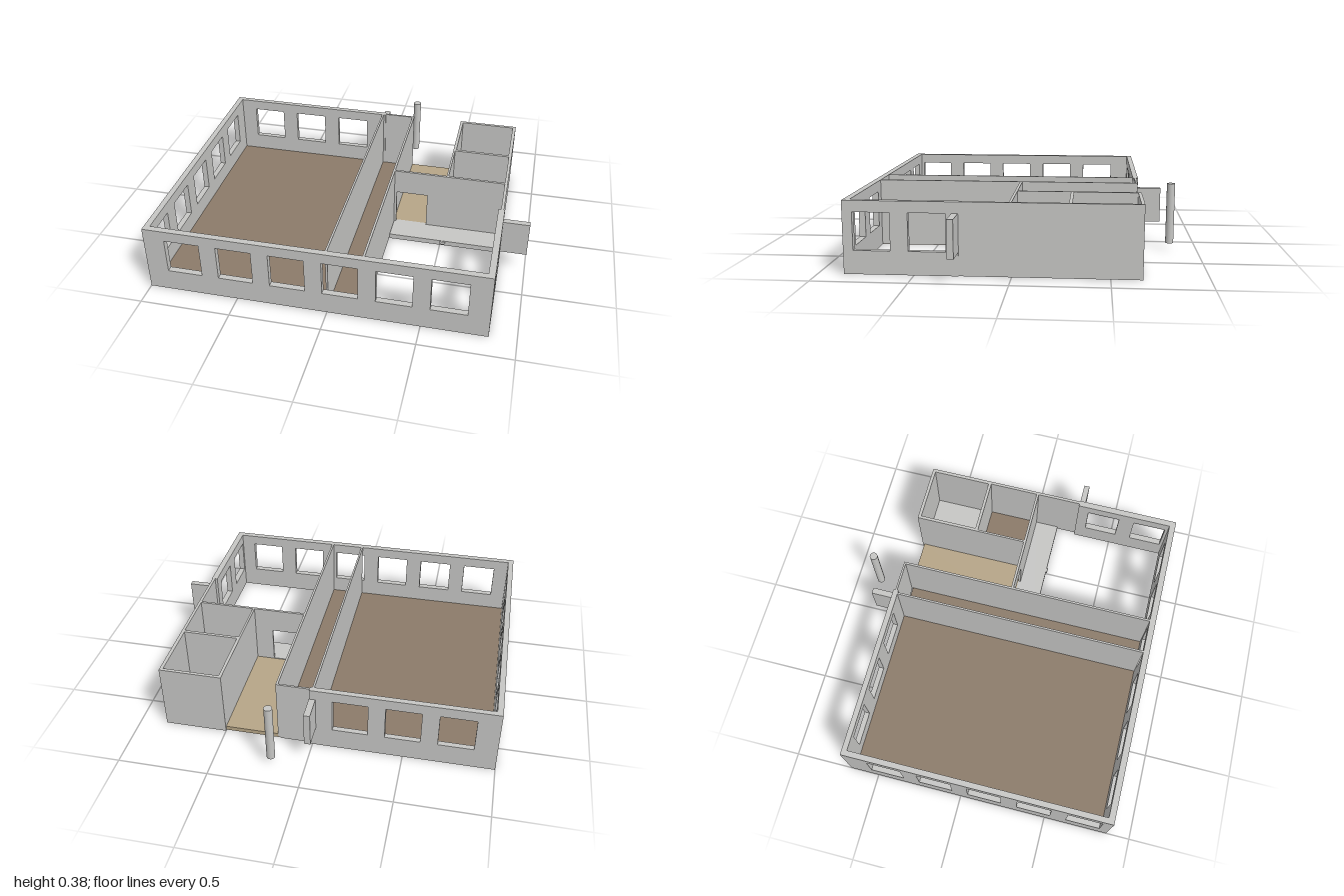
import * as THREE from 'three';

const H = 0.385;                      // wall height
const SILL = 0.125, HEAD = 0.325;     // window bottom and top
const SLAB = 0.025;                   // floor thickness

export function createModel() {
  const group = new THREE.Group();
  const mat = (name, color) => {
    const m = new THREE.MeshStandardMaterial({ color });
    m.name = name;
    return m;
  };
  const plaster = mat('grey plaster', 0xc6c6c4);
  const brown = mat('brown floor', 0x8b7a69);
  const tan = mat('tan floor', 0xb6a587);

  const add = (name, geometry, material) => {
    const mesh = new THREE.Mesh(geometry, material);
    mesh.name = name;
    group.add(mesh);
    return mesh;
  };

  // Box given by its limits on each axis
  const block = (name, x0, x1, y0, y1, z0, z1, material = plaster) =>
    add(name, new THREE.BoxGeometry(x1 - x0, y1 - y0, z1 - z0), material)
      .position.set((x0 + x1) / 2, (y0 + y1) / 2, (z0 + z1) / 2);

  // Upright panel from a to b with rectangular openings [a, b, bottom, top]
  const panel = (a, b, depth, openings, bottom = 0) => {
    const rect = (path, x0, x1, y0, y1) =>
      path.moveTo(x0, y0).lineTo(x1, y0).lineTo(x1, y1).lineTo(x0, y1).closePath();
    const shape = new THREE.Shape();
    rect(shape, a, b, bottom, H);
    for (const [x0, x1, y0 = SILL, y1 = HEAD] of openings) {
      const hole = new THREE.Path();
      rect(hole, x0, x1, y0, y1);
      shape.holes.push(hole);
    }
    return new THREE.ExtrudeGeometry(shape, { depth, bevelEnabled: false });
  };
  const wallAlongX = (name, x0, x1, z0, z1, openings, bottom) =>
    add(name, panel(x0, x1, z1 - z0, openings, bottom), plaster).position.z = z0;
  const wallAlongZ = (name, x0, x1, z0, z1, openings) => {
    const wall = add(name, panel(z0, z1, x1 - x0, openings), plaster);
    wall.rotation.y = -Math.PI / 2;
    wall.position.x = x1;
  };

  // Evenly spaced windows
  const windows = (start, count, pitch, width = 0.193) =>
    Array.from({ length: count }, (_, i) => [start + i * pitch, start + i * pitch + width]);

  // Outer walls with windows
  wallAlongX('frontWall', -1, 0.855, 0.83, 0.865, windows(-0.883, 6, 0.286));
  wallAlongX('backWall', -1, 0.012, -0.667, -0.637, windows(-0.877, 3, 0.286));
  wallAlongZ('rightWall', -1, -0.968, -0.637, 0.83, windows(-0.525, 5, 0.286));
  wallAlongZ('leftWall', 0.82, 0.855, 0.27, 0.83, windows(0.334, 2, 0.286));

  // Floors
  block('hallFloor', -0.968, 0.19, 0, SLAB, -0.637, 0.83, brown);
  block('passageFloor', 0.19, 0.5, 0, SLAB, -0.652, 0, tan);
  block('smallRoomFloor', 0.51, 0.838, 0, SLAB, -0.287, 0, brown);
  block('backRoomFloor', 0.515, 0.832, 0, SLAB, -0.645, -0.303);
  block('porchSlab', 0.2, 0.83, 0, 0.03, 0.014, 0.155);
  block('porchStep', 0.5, 0.53, 0.01, 0.028, 0.155, 0.162);

  // Long inner partitions and the corridor end
  block('hallPartition', -0.011, 0, 0.01, H, -0.637, 0.83);
  block('corridorPartition', 0.186, 0.198, 0.005, H, -0.655, 0.83);
  block('corridorEndWall', 0.012, 0.186, 0, H, -0.656, -0.645);

  // Wall with the doorway to the passage
  wallAlongX('doorWall', 0.198, 0.834, 0, 0.014, [[0.212, 0.394, 0.03, 0.24]], 0.002);

  // Small rooms at the back left
  block('courtSideWall', 0.834, 0.85, 0, H, -0.287, 0.27);
  block('smallRoomInnerWall', 0.5, 0.511, 0, H, -0.287, 0);
  block('backRoomInnerWall', 0.5, 0.517, 0, H, -0.662, -0.287);
  block('backRoomOuterWall', 0.831, 0.85, 0, H, -0.662, -0.287);
  block('backRoomRearWall', 0.517, 0.831, 0, H, -0.662, -0.644);
  block('backRoomFrontWall', 0.517, 0.831, 0, H, -0.304, -0.287);

  // Panels standing out from the walls
  block('sidePanel', 0.855, 1, SILL, HEAD, 0.27, 0.303);
  block('rearPanel', -0.021, 0.014, SILL, HEAD, -0.8, -0.667);

  // Free-standing round post behind the building
  add('post', new THREE.CylinderGeometry(0.023, 0.023, 0.345, 32), plaster)
    .position.set(0.188, 0.2125, -0.845);

  return group;
}
